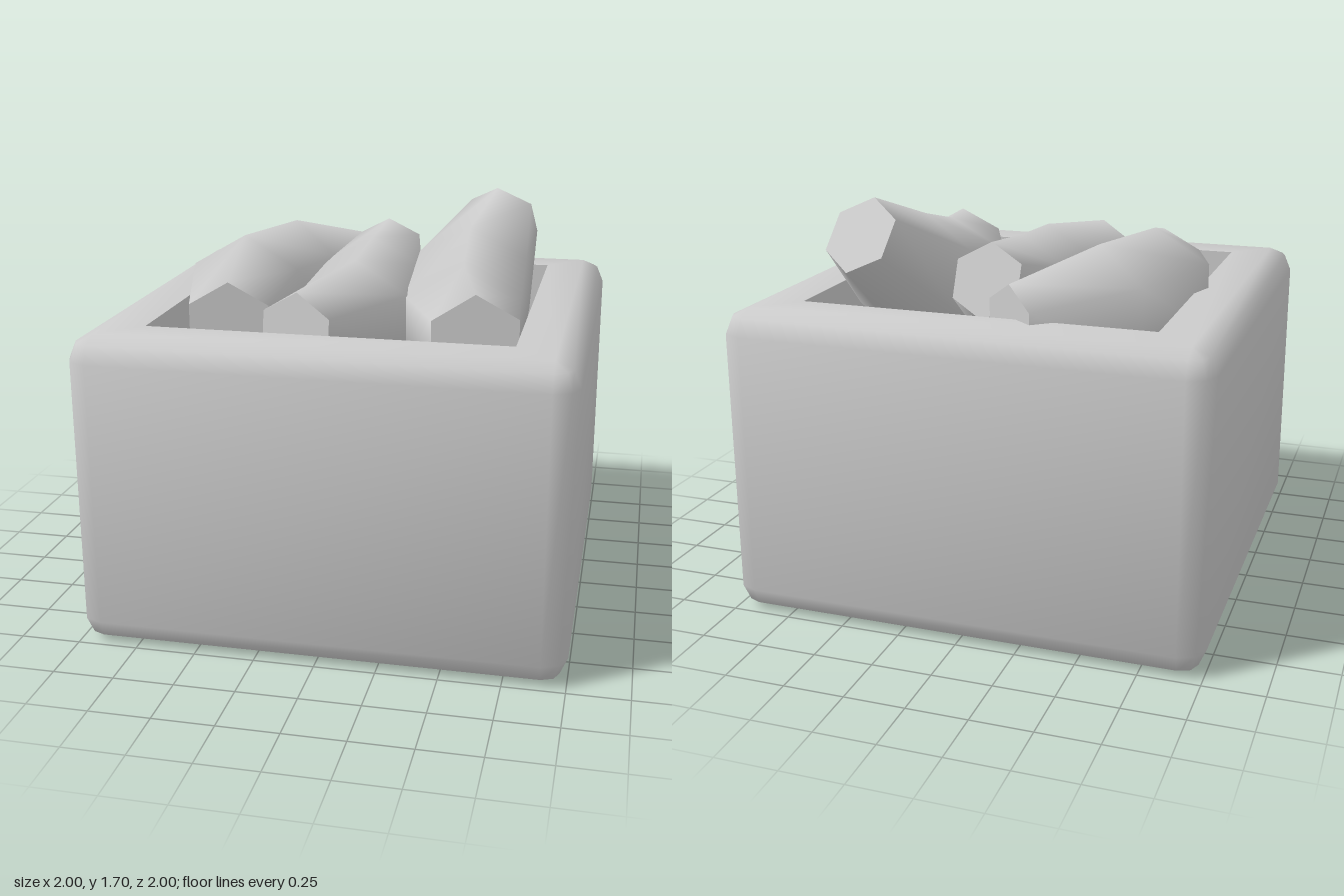
import * as THREE from 'three';
import { toCreasedNormals } from 'three/addons/utils/BufferGeometryUtils.js';

const V = (x, y, z) => new THREE.Vector3(x, y, z);

// Skin a list of closed rings (arrays of points), smooth except at sharp edges
function loft(rings) {
  const pos = [];
  const tri = (a, b, c) => {
    const area = b.clone().sub(a).cross(c.clone().sub(a)).length();
    if (area > 1e-7) for (const p of [a, b, c]) pos.push(p.x, p.y, p.z);
  };
  for (let i = 0; i < rings.length - 1; i++) {
    const n = rings[i].length;
    for (let j = 0; j < n; j++) {
      const k = (j + 1) % n;
      const a = rings[i][j], b = rings[i][k], c = rings[i + 1][k], d = rings[i + 1][j];
      tri(a, d, b);
      tri(d, c, b);
    }
  }
  const geo = new THREE.BufferGeometry();
  geo.setAttribute('position', new THREE.Float32BufferAttribute(pos, 3));
  return toCreasedNormals(geo, 1.2);
}

// Horizontal square ring with rounded corners: core half size plus corner radius
function squareRing(y, core, r) {
  const pts = [];
  for (let q = 0; q < 4; q++) {
    const mid = Math.PI / 4 + q * Math.PI / 2;
    const cx = Math.sign(Math.cos(mid)) * core, cz = Math.sign(Math.sin(mid)) * core;
    for (let s = 0; s <= 2; s++) {
      const a = q * Math.PI / 2 + s * Math.PI / 4;
      pts.push(V(cx + r * Math.cos(a), y, cz + r * Math.sin(a)));
    }
  }
  return pts;
}

// Six-sided bent loaf through stations [x, y, z, radius], listed front to back
function loafGeometry(stations) {
  const c = stations.map(([x, y, z]) => V(x, y, z));
  const last = c.length - 1;
  const ring = (i, r) => {
    const t = c[Math.min(i + 1, last)].clone().sub(c[Math.max(i - 1, 0)]).normalize();
    const u = t.clone().cross(V(0, 1, 0)).normalize();
    const v = u.clone().cross(t);
    return Array.from({ length: 6 }, (_, k) => {
      const a = Math.PI / 6 + k * Math.PI / 3;
      return c[i].clone().addScaledVector(u, r * Math.cos(a)).addScaledVector(v, r * Math.sin(a));
    });
  };
  // zero-radius rings close both ends flat
  return loft([ring(0, 0), ...stations.map((s, i) => ring(i, s[3])), ring(last, 0)]);
}

export function createModel() {
  const group = new THREE.Group();
  const material = new THREE.MeshStandardMaterial({ color: 0xcccccc });
  const add = (name, geo) => {
    const mesh = new THREE.Mesh(geo, material);
    mesh.name = name;
    group.add(mesh);
  };

  // Bevelled bin with a shallow square recess: [y, core half size, corner radius]
  const profile = [
    [0, 0, 0], [0, 0.9, 0], [0.03, 0.9, 0.07], [0.1, 0.9, 0.1],
    [1.2, 0.9, 0.1], [1.27, 0.9, 0.07], [1.3, 0.9, 0],
    [1.3, 0.74, 0], [0.92, 0.74, 0], [0.92, 0, 0],
  ];
  add('bin', loft(profile.map((p) => squareRing(...p))));

  // Three loaves lying in the recess
  add('rightLoaf', loafGeometry([
    [-0.465, 1.25, 0.51, 0.19], [-0.535, 1.26, 0.02, 0.28],
    [-0.405, 1.26, -0.38, 0.28], [-0.135, 1.26, -0.71, 0.17],
  ]));
  add('middleLoaf', loafGeometry([
    [-0.15, 1.26, 0.64, 0.18], [0.0, 1.22, 0.2, 0.27],
    [0.0, 1.27, -0.23, 0.25], [0.015, 1.395, -0.55, 0.16],
  ]));
  add('leftLoaf', loafGeometry([
    [0.57, 1.26, 0.62, 0.2], [0.46, 1.21, 0.19, 0.28],
    [0.45, 1.32, -0.27, 0.28], [0.54, 1.56, -0.605, 0.17],
  ]));

  return group;
}
